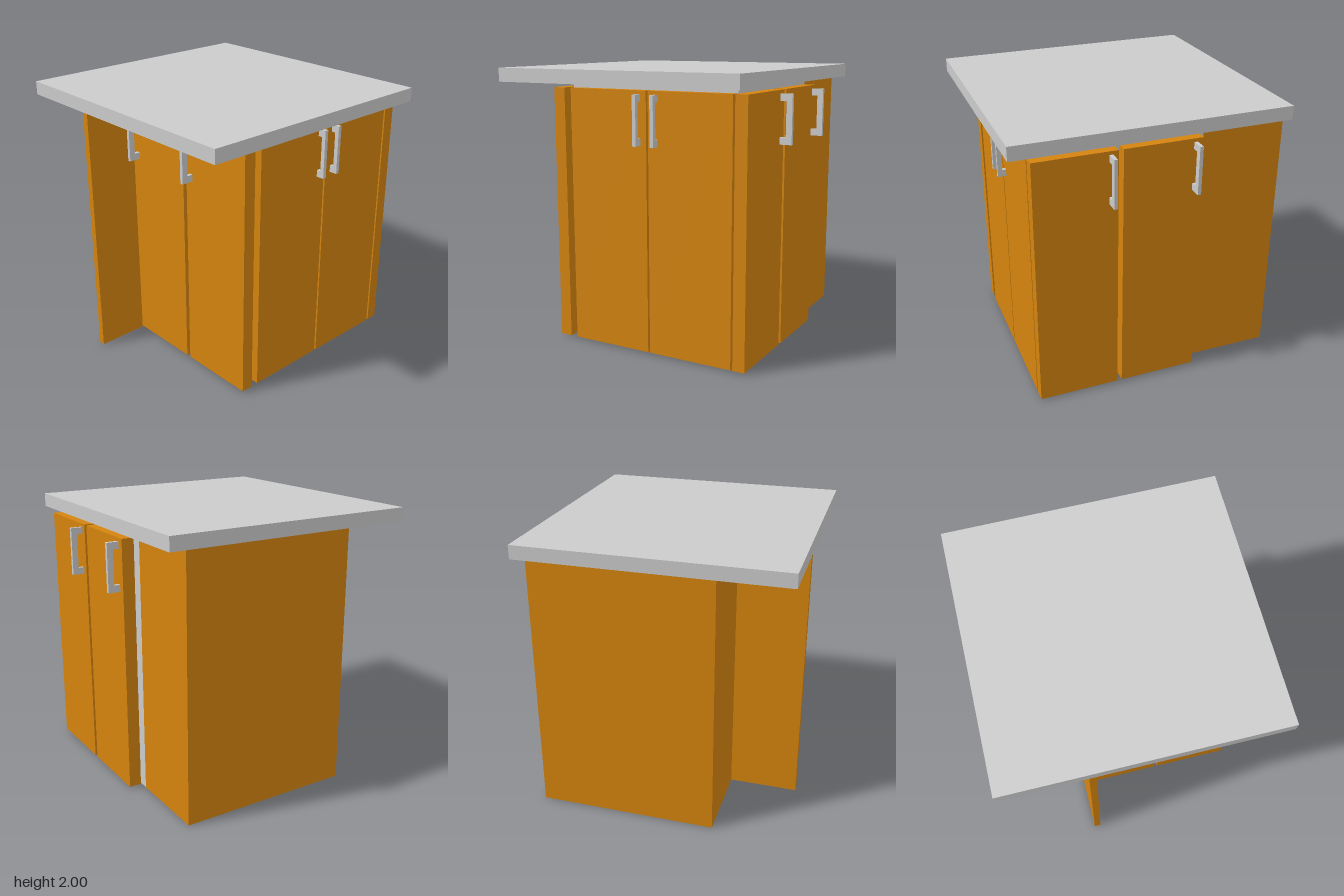
import * as THREE from 'three';

const grey = new THREE.MeshStandardMaterial({ color: 0xcccccc });
const wood = new THREE.MeshStandardMaterial({ color: 0xd5840e });

// Box given by its limits on each axis
function box(name, [x0, x1], [y0, y1], [z0, z1], material) {
  const mesh = new THREE.Mesh(new THREE.BoxGeometry(x1 - x0, y1 - y0, z1 - z0), material);
  mesh.position.set((x0 + x1) / 2, (y0 + y1) / 2, (z0 + z1) / 2);
  mesh.name = name;
  return mesh;
}

// Bracket-shaped pull: depth along local +z, width along local x
function handle(name, depth, width, bar) {
  const h = 0.35, post = 0.05;
  const s = new THREE.Shape([
    [0, 0], [depth, 0], [depth, h], [0, h],
    [0, h - post], [depth - bar, h - post], [depth - bar, post], [0, post],
  ].map(([x, y]) => new THREE.Vector2(x, y)));
  const g = new THREE.ExtrudeGeometry(s, { depth: width, bevelEnabled: false });
  g.translate(0, 0, -width / 2);
  g.rotateY(-Math.PI / 2);
  const mesh = new THREE.Mesh(g, grey);
  mesh.name = name;
  return mesh;
}

export function createModel() {
  const root = new THREE.Group();
  root.name = 'kitchenIsland';
  const full = [0, 1.9], doorY = [0.01, 1.865], handleY = 1.49;

  root.add(box('countertop', [-1, 1], [1.9, 2], [-0.92, 1], grey));

  // Closed end unit and the main carcass (wooden underside)
  root.add(box('endUnit', [-1, -0.385], full, [-0.805, 0.495], wood));
  root.add(box('carcass', [-0.385, 0.78], full, [-0.805, 0.495],
    [grey, grey, grey, wood, grey, grey]));

  // Fin that carries the overhanging top
  root.add(box('supportPanel', [-0.385, -0.335], full, [0.495, 1],
    [wood, wood, wood, grey, wood, wood]));

  // Front and back door pairs
  for (const [side, z, dir] of [['front', 0.525, 1], ['back', -0.82, -1]]) {
    const face = z + dir * 0.09;
    [[-0.335, 0.235, -0.277], [0.27, 0.855, 0.322]].forEach(([x0, x1, hx], i) => {
      root.add(box(`${side}Door${i + 1}`, [x0, x1], doorY,
        [Math.min(z, face), Math.max(z, face)], wood));
      const pull = handle(`${side}Handle${i + 1}`, 0.088, 0.025, 0.044);
      pull.position.set(hx, handleY, face);
      if (dir < 0) pull.rotation.y = Math.PI;
      root.add(pull);
    });
  }

  // Side door pair, handles next to the seam
  [[-0.155, 0.47, -0.095], [-0.805, -0.17, -0.233]].forEach(([z0, z1, hz], i) => {
    root.add(box(`sideDoor${i + 1}`, [0.795, 0.855], doorY, [z0, z1], wood));
    const pull = handle(`sideHandle${i + 1}`, 0.06, 0.027, 0.03);
    pull.position.set(0.855, handleY, hz);
    pull.rotation.y = Math.PI / 2;
    root.add(pull);
  });

  return root;
}
